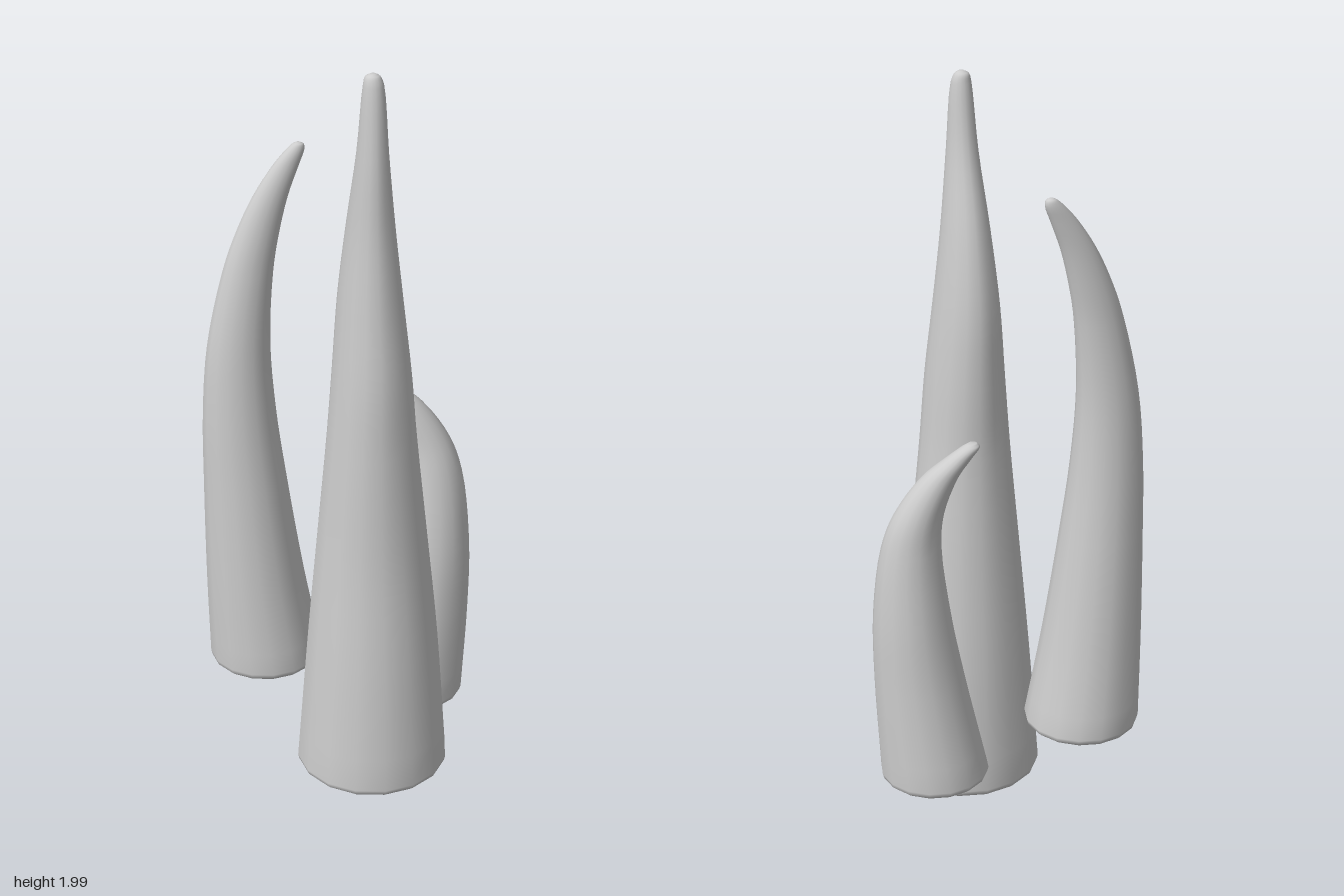
import * as THREE from 'three';

const SIDES = 16;
const STEPS = 4;

// Each section is [y, xMin, xMax, zMin, zMax] of one horizontal ring, from base to tip.
const HORNS = {
  tallHorn: [
    [0.03, -0.167, 0.25, -0.107, 0.31],
    [0.4, -0.137, 0.222, -0.083, 0.28],
    [0.7, -0.11, 0.19, -0.055, 0.25],
    [1.0, -0.083, 0.156, -0.03, 0.233],
    [1.2, -0.066, 0.138, -0.026, 0.225],
    [1.4, -0.05, 0.115, -0.016, 0.205],
    [1.6, -0.03, 0.09, 0.02, 0.187],
    [1.8, -0.012, 0.066, 0.077, 0.18],
    [1.97, 0, 0.052, 0.108, 0.162],
    [1.993, 0.006, 0.043, 0.115, 0.153],
    [2.0, 0.018, 0.032, 0.128, 0.142],
  ],
  curvedHorn: [
    [0.25, -0.355, -0.043, -0.31, 0.003],
    [0.5, -0.36, -0.09, -0.285, -0.02],
    [0.8, -0.36, -0.135, -0.258, -0.048],
    [1.0, -0.357, -0.16, -0.24, -0.067],
    [1.2, -0.34, -0.172, -0.222, -0.085],
    [1.4, -0.295, -0.16, -0.205, -0.103],
    [1.5, -0.26, -0.143, -0.197, -0.112],
    [1.6, -0.212, -0.118, -0.187, -0.122],
    [1.68, -0.158, -0.088, -0.178, -0.132],
    [1.72, -0.122, -0.073, -0.173, -0.138],
    [1.735, -0.105, -0.075, -0.168, -0.143],
    [1.74, -0.095, -0.084, -0.16, -0.15],
  ],
  shortHorn: [
    [0.125, 0.052, 0.348, -0.21, 0.085],
    [0.4, 0.11, 0.357, -0.17, 0.075],
    [0.6, 0.147, 0.356, -0.148, 0.06],
    [0.8, 0.172, 0.333, -0.125, 0.027],
    [0.9, 0.168, 0.3, -0.121, 0],
    [1.0, 0.132, 0.232, -0.118, -0.033],
    [1.05, 0.098, 0.172, -0.117, -0.058],
    [1.08, 0.077, 0.128, -0.114, -0.073],
    [1.09, 0.085, 0.108, -0.103, -0.083],
  ],
};

// Smooth ring series: centre (x, y, z) and half widths (rx, rz)
function makeRings(sections) {
  const centres = new THREE.CatmullRomCurve3(
    sections.map(([y, a, b, c, d]) => new THREE.Vector3((a + b) / 2, y, (c + d) / 2)));
  const radii = new THREE.CatmullRomCurve3(
    sections.map(([y, a, b, c, d]) => new THREE.Vector3((b - a) / 2, y, (d - c) / 2)));
  const n = (sections.length - 1) * STEPS;
  const rings = [];
  for (let i = 0; i <= n; i++) {
    const p = centres.getPoint(i / n), r = radii.getPoint(i / n);
    rings.push({ x: p.x, y: p.y, z: p.z, rx: r.x, rz: r.z });
  }
  // Small bevel around the foot
  const f = rings[0];
  rings.unshift(
    { ...f, y: f.y - 0.02, rx: f.rx - 0.012, rz: f.rz - 0.012 },
    { ...f, y: f.y - 0.012, rx: f.rx - 0.003, rz: f.rz - 0.003 });
  return rings;
}

// Skin through the rings, closed at the tip
function loft(rings) {
  const pos = [], index = [];
  for (const { x, y, z, rx, rz } of rings) {
    for (let j = 0; j < SIDES; j++) {
      const a = (j / SIDES) * Math.PI * 2 + 0.095;
      pos.push(x + rx * Math.cos(a), y, z + rz * Math.sin(a));
    }
  }
  for (let i = 0; i < rings.length - 1; i++) {
    for (let j = 0; j < SIDES; j++) {
      const k = (j + 1) % SIDES;
      const a = i * SIDES + j, b = i * SIDES + k;
      index.push(a, a + SIDES, b, b, a + SIDES, b + SIDES);
    }
  }
  const top = rings[rings.length - 1], apex = pos.length / 3;
  pos.push(top.x, top.y, top.z);
  const last = (rings.length - 1) * SIDES;
  for (let j = 0; j < SIDES; j++) index.push(last + j, apex, last + (j + 1) % SIDES);
  const g = new THREE.BufferGeometry();
  g.setAttribute('position', new THREE.Float32BufferAttribute(pos, 3));
  g.setIndex(index);
  g.computeVertexNormals();
  return g;
}

// Flat underside of a horn
function footCap({ x, y, z, rx, rz }) {
  return new THREE.CircleGeometry(1, SIDES, -0.095)
    .rotateX(Math.PI / 2).scale(rx, 1, rz).translate(x, y, z);
}

export function createModel() {
  const model = new THREE.Group();
  model.name = 'hornCluster';
  const material = new THREE.MeshStandardMaterial({ color: 0xcccccc });
  for (const [name, sections] of Object.entries(HORNS)) {
    const horn = new THREE.Group();
    horn.name = name;
    const rings = makeRings(sections);
    const body = new THREE.Mesh(loft(rings), material);
    body.name = name + 'Body';
    const foot = new THREE.Mesh(footCap(rings[0]), material);
    foot.name = name + 'Foot';
    horn.add(body, foot);
    model.add(horn);
  }
  return model;
}
